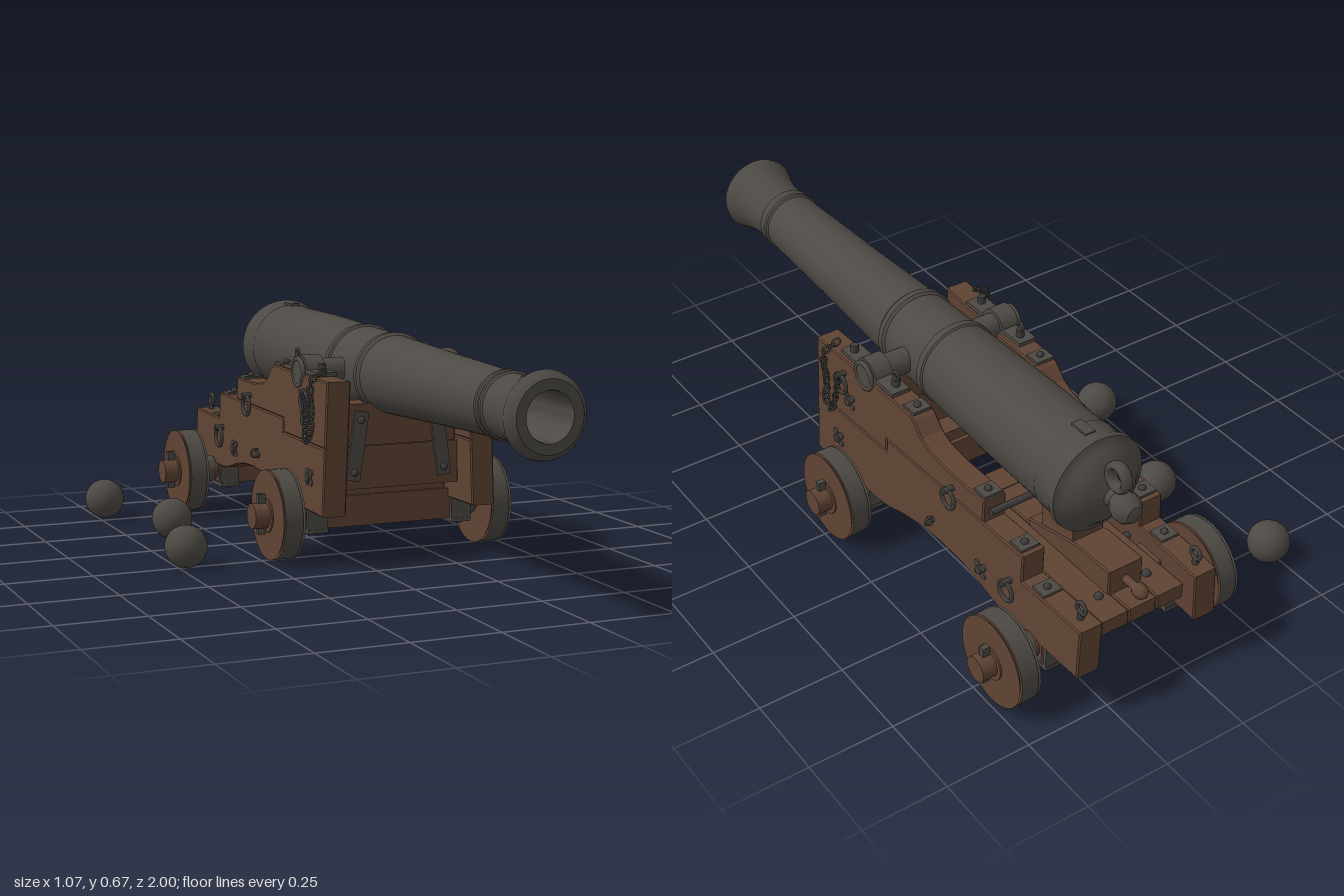
import * as THREE from 'three';
import { toCreasedNormals } from 'three/addons/utils/BufferGeometryUtils.js';

const CENTRE_X = 0.127; // carriage sits beside the row of shot
const AXLE_Y = 0.133, AXLES = [0, -0.81];

export function createModel() {
  const wood = new THREE.MeshStandardMaterial({ color: 0x5f4333 });
  wood.name = 'wood';
  const iron = new THREE.MeshStandardMaterial({ color: 0x4d4944 });
  iron.name = 'iron';
  const darkIron = new THREE.MeshStandardMaterial({ color: 0x3e3d3b });
  darkIron.name = 'darkIron';

  const model = new THREE.Group();
  model.name = 'cannon';
  const carriage = new THREE.Group();
  carriage.name = 'carriage';
  carriage.position.x = CENTRE_X;
  model.add(carriage);

  const add = (name, geo, mat, x = 0, y = 0, z = 0, parent = carriage) => {
    const m = new THREE.Mesh(geo, mat);
    m.name = name;
    m.position.set(x, y, z);
    parent.add(m);
    return m;
  };
  const box = (w, h, d) => new THREE.BoxGeometry(w, h, d);
  const rod = (r, len, sides = 20) => new THREE.CylinderGeometry(r, r, len, sides).rotateZ(Math.PI / 2);
  const ring = (r, t) => new THREE.TorusGeometry(r, t, 8, 20).rotateY(Math.PI / 2);
  // Outline given as [z, y] pairs, extruded across x
  const slab = (pts, width, bevel = 0.004) => {
    const shape = new THREE.Shape(pts.map(([z, y]) => new THREE.Vector2(-z, y)));
    const depth = width - 2 * bevel;
    return new THREE.ExtrudeGeometry(shape, {
      depth, bevelSize: bevel, bevelThickness: bevel, bevelOffset: -bevel, bevelSegments: 1,
    }).translate(0, 0, -depth / 2).rotateY(Math.PI / 2);
  };

  // Barrel, turned along z, with bore
  const profile = [
    [0, -0.93], [0.024, -0.922], [0.04, -0.9], [0.042, -0.88], [0.034, -0.858], [0.024, -0.845], [0.028, -0.83],
    [0.06, -0.82], [0.095, -0.805], [0.118, -0.785], [0.128, -0.775], [0.143, -0.77], [0.145, -0.755], [0.137, -0.735],
    [0.134, -0.7], [0.136, -0.695], [0.136, -0.68], [0.133, -0.675], [0.13, -0.4], [0.122, -0.14],
    [0.126, -0.135], [0.126, -0.115], [0.12, -0.11], [0.115, 0.06], [0.121, 0.068], [0.121, 0.085], [0.113, 0.095],
    [0.1, 0.4], [0.088, 0.76], [0.093, 0.765], [0.093, 0.775], [0.088, 0.78], [0.092, 0.79], [0.092, 0.8], [0.087, 0.805],
    [0.088, 0.86], [0.096, 0.91], [0.108, 0.95], [0.115, 0.968], [0.112, 0.982], [0.095, 1.0], [0.067, 1.0],
    [0.065, 0.99], [0.065, 0.6], [0, 0.6],
  ].map(([r, z]) => new THREE.Vector2(r, z));
  const lathe = new THREE.LatheGeometry(profile, 48).rotateX(Math.PI / 2);
  add('barrel', toCreasedNormals(lathe, 0.6), iron, 0, 0.53, 0);
  add('trunnions', rod(0.037, 0.5, 28), iron, 0, 0.535, -0.04);
  add('breechLoop', ring(0.034, 0.011), iron, 0, 0.605, -0.85).scale.x = 1.7;
  add('vent', box(0.03, 0.012, 0.06), iron, 0, 0.664, -0.7);

  // Cheeks: toed and leaning planks, placed by a shear rule
  const cheekX = (y, z) => 0.223 + 0.036 * z - 0.04 * (y - 0.25);
  const THICK = 0.072;
  const upper = [[0.195, 0.345], [0.195, 0.532], [-0.255, 0.532], [-0.275, 0.52], [-0.31, 0.485], [-0.35, 0.467],
    [-0.42, 0.457], [-0.59, 0.454], [-0.59, 0.386], [-0.15, 0.386], [-0.15, 0.345]];
  const lower = [[0.195, 0.152], [0.195, 0.345], [-0.15, 0.345], [-0.15, 0.386], [-0.76, 0.386], [-0.76, 0.305],
    [-1, 0.305], [-1, 0.152], [-0.7, 0.152], [-0.64, 0.162], [-0.58, 0.18], [-0.5, 0.195], [-0.41, 0.2],
    [-0.32, 0.195], [-0.24, 0.18], [-0.17, 0.16], [-0.12, 0.152]];
  const plank = (pts, s) => {
    const g = slab(pts, THICK), p = g.attributes.position;
    for (let i = 0; i < p.count; i++) p.setX(i, p.getX(i) + s * cheekX(p.getY(i), p.getZ(i)));
    g.computeVertexNormals();
    return g;
  };

  for (const s of [1, -1]) {
    const side = new THREE.Group();
    side.name = s > 0 ? 'leftSide' : 'rightSide';
    carriage.add(side);
    const put = (name, geo, mat, x, y, z) => add(name, geo, mat, s * x, y, z, side);
    const outer = (y, z) => cheekX(y, z) + THICK / 2;
    put('upperCheek', plank(upper, s), wood, 0, 0, 0);
    put('lowerCheek', plank(lower, s), wood, 0, 0, 0);

    // Cap square over the trunnion
    const cap = new THREE.Shape();
    cap.moveTo(0.13, 0);
    cap.lineTo(0.13, 0.012);
    cap.lineTo(0.048, 0.012);
    cap.absarc(0, 0, 0.05, 0.24, Math.PI - 0.24, false);
    cap.lineTo(-0.13, 0.012);
    cap.lineTo(-0.13, 0);
    cap.lineTo(-0.038, 0);
    cap.absarc(0, 0, 0.038, Math.PI, 0, true);
    const capGeo = new THREE.ExtrudeGeometry(cap, { depth: 0.056, bevelEnabled: false, curveSegments: 16 })
      .translate(0, 0, -0.028).rotateY(Math.PI / 2);
    put('capSquare', capGeo, iron, cheekX(0.53, -0.04), 0.534, -0.04);
    put('trunnionCollar', ring(0.039, 0.007), iron, outer(0.53, -0.04), 0.535, -0.04);
    for (const z of [0.06, -0.14]) {
      put('capBolt', new THREE.CylinderGeometry(0.012, 0.012, 0.03, 6), darkIron, cheekX(0.53, z), 0.553, z);
    }
    put('capKeyRing', ring(0.012, 0.004), darkIron, cheekX(0.53, -0.14), 0.578, -0.14);

    // Strap plates on the stepped tops, with bolt heads
    for (const [y, z] of [[0.532, -0.24], [0.455, -0.56], [0.386, -0.72], [0.305, -0.82]]) {
      put('topPlate', box(0.056, 0.009, 0.05), iron, cheekX(y, z), y + 0.003, z);
      put('topBolt', new THREE.SphereGeometry(0.011, 10, 6), darkIron, cheekX(y, z), y + 0.009, z);
    }
    // Face rosettes with four lobes
    for (const [y, z] of [[0.25, 0.085], [0.41, 0.03], [0.23, -0.59]]) {
      put('bolt', rod(0.013, 0.022, 8), darkIron, outer(y, z), y, z);
      for (let i = 0; i < 4; i++) {
        const a = Math.PI * (i / 2 + 0.25);
        put('rosetteLobe', rod(0.01, 0.009, 8), iron, outer(y, z), y + 0.02 * Math.sin(a), z + 0.02 * Math.cos(a));
      }
    }
    put('slotPin', box(0.012, 0.014, 0.03), darkIron, outer(0.25, -0.365), 0.25, -0.365).rotation.x = 0.6;

    // Hanging tackle rings on eyebolts
    for (const [y, z] of [[0.385, -0.455], [0.25, -0.715], [0.46, 0.055]]) {
      put('eyebolt', rod(0.009, 0.04, 8), darkIron, outer(y, z) + 0.008, y + 0.03, z);
      put('tackleRing', ring(0.029, 0.006), darkIron, outer(y, z) + 0.014, y, z);
    }
    put('sideEye', new THREE.TorusGeometry(0.012, 0.004, 6, 14), darkIron, outer(0.3, -0.37) + 0.012, 0.25, -0.37);
    put('rearEye', ring(0.017, 0.006), darkIron, cheekX(0.34, -0.955), 0.338, -0.955);
    put('rearEyeStem', new THREE.CylinderGeometry(0.008, 0.01, 0.024, 8), darkIron, cheekX(0.31, -0.955), 0.312, -0.955);

    // Chain of alternating links
    const chainX = outer(0.45, 0.1) + 0.018;
    const curve = new THREE.CatmullRomCurve3([
      [chainX - 0.035, 0.55, 0.12], [chainX, 0.53, 0.125], [chainX, 0.43, 0.122], [chainX + 0.006, 0.365, 0.115],
      [chainX + 0.006, 0.355, 0.09], [chainX, 0.4, 0.078], [chainX - 0.004, 0.485, 0.058],
    ].map(([x, y, z]) => new THREE.Vector3(s * x, y, z)));
    const links = 22, up = new THREE.Vector3(0, 1, 0);
    for (let i = 0; i <= links; i++) {
      const p = curve.getPointAt(i / links);
      const link = add('chainLink', new THREE.TorusGeometry(0.009, 0.0032, 5, 10).scale(1, 1.35, 1), darkIron, p.x, p.y, p.z, side);
      link.quaternion.setFromUnitVectors(up, curve.getTangentAt(i / links));
      link.rotateY((i % 2) * Math.PI / 2 + 0.4);
    }

    // Wheels, linchpins and axle clamps
    for (const z of AXLES) {
      const wheel = new THREE.CylinderGeometry(0.13, 0.13, 0.052, 40).rotateZ(Math.PI / 2);
      put('wheel', wheel, [iron, wood, wood], 0.326, AXLE_Y, z);
      for (const e of [1, -1]) {
        const edge = new THREE.CylinderGeometry(e > 0 ? 0.13 : 0.122, e > 0 ? 0.122 : 0.13, 0.007, 40, 1).rotateZ(Math.PI / 2);
        put('wheelEdge', edge, [iron, wood, wood], 0.326 - s * e * 0.0295, AXLE_Y, z);
      }
      put('linchpin', box(0.022, 0.118, 0.016), iron, 0.378, 0.138, z);
      put('axleCollar', rod(0.042, 0.05), iron, 0.265, AXLE_Y, z);
      const cx = cheekX(0.13, z);
      put('axleClamp', box(0.062, 0.012, 0.13), iron, cx, 0.086, z);
      for (const dz of [0.057, -0.057]) {
        put('clampArm', box(0.062, 0.07, 0.012), iron, cx, 0.12, z + dz);
        put('clampBolt', new THREE.CylinderGeometry(0.012, 0.012, 0.016, 6), darkIron, cx, 0.082, z + dz * 0.7);
      }
      put('wheelWasher', rod(0.05, 0.006), wood, 0.361, AXLE_Y, z);
    }

    // Slanted strap on the front transom
    const strap = put('transomStrap', box(0.042, 0.2, 0.009), iron, 0.13, 0.335, 0.118);
    strap.rotation.z = s * 0.14;
    for (const dy of [0.075, -0.075]) {
      const bolt = new THREE.SphereGeometry(0.011, 10, 6);
      put('strapBolt', bolt, darkIron, 0.13 - 0.14 * dy, 0.335 + dy, 0.123);
    }
    put('bedBolt', new THREE.SphereGeometry(0.013, 10, 6), darkIron, 0.078, 0.275, -0.89);
  }

  // Axles
  for (const z of AXLES) {
    add('axleBeam', slab([[0.048, 0.09], [0.048, 0.18], [-0.048, 0.18], [-0.048, 0.09]], 0.46).translate(0, 0, z), wood);
    add('axle', rod(0.037, 0.815, 24), wood, 0, AXLE_Y, z);
  }
  // Front transom boards
  add('lowerTransom', slab([[0.112, 0.21], [0.112, 0.333], [0.03, 0.333], [0.03, 0.21]], 0.385), wood);
  add('upperTransom', slab([[0.112, 0.335], [0.112, 0.455], [0.03, 0.455], [0.03, 0.335]], 0.365), wood);
  add('transomFoot', box(0.37, 0.04, 0.07), wood, 0, 0.195, 0.0);

  // Bed boards, rear transom and elevating wedge
  for (const x of [-0.09, 0, 0.09]) {
    add('bedBoard', slab([[-0.3, 0.215], [-0.3, 0.255], [-0.975, 0.275], [-0.975, 0.23]], 0.089), wood, x);
  }
  add('rearTransom', box(0.32, 0.075, 0.09), wood, 0, 0.215, -0.81);
  add('bedCrosspiece', box(0.34, 0.05, 0.08), wood, 0, 0.235, -0.34);
  add('wedge', slab([[-0.55, 0.265], [-0.55, 0.29], [-0.76, 0.345], [-0.9, 0.35], [-0.9, 0.27]], 0.11), wood);
  add('wedgeBlock', slab([[-0.6, 0.3], [-0.6, 0.395], [-0.74, 0.39], [-0.74, 0.33]], 0.1), wood);
  const handle = [[0, 0], [0.012, 0], [0.012, 0.035], [0.02, 0.05], [0.02, 0.07], [0.01, 0.082], [0, 0.084]];
  const handleGeo = new THREE.LatheGeometry(handle.map(([r, y]) => new THREE.Vector2(r, y)), 14).rotateX(-Math.PI / 2);
  add('wedgeHandle', handleGeo, wood, 0, 0.305, -0.9);

  // Tie rods between the cheeks
  add('tieRod', rod(0.01, 0.43, 10), darkIron, 0, 0.42, -0.6);
  add('rearTieRod', rod(0.01, 0.44, 10), darkIron, 0, 0.24, -0.71);

  // Round shot on the ground
  for (const [x, z] of [[-0.478, -0.795], [-0.384, -0.405], [-0.478, 0]]) {
    add('roundShot', new THREE.SphereGeometry(0.061, 28, 18), iron, x, 0.062, z, model);
  }
  return model;
}
